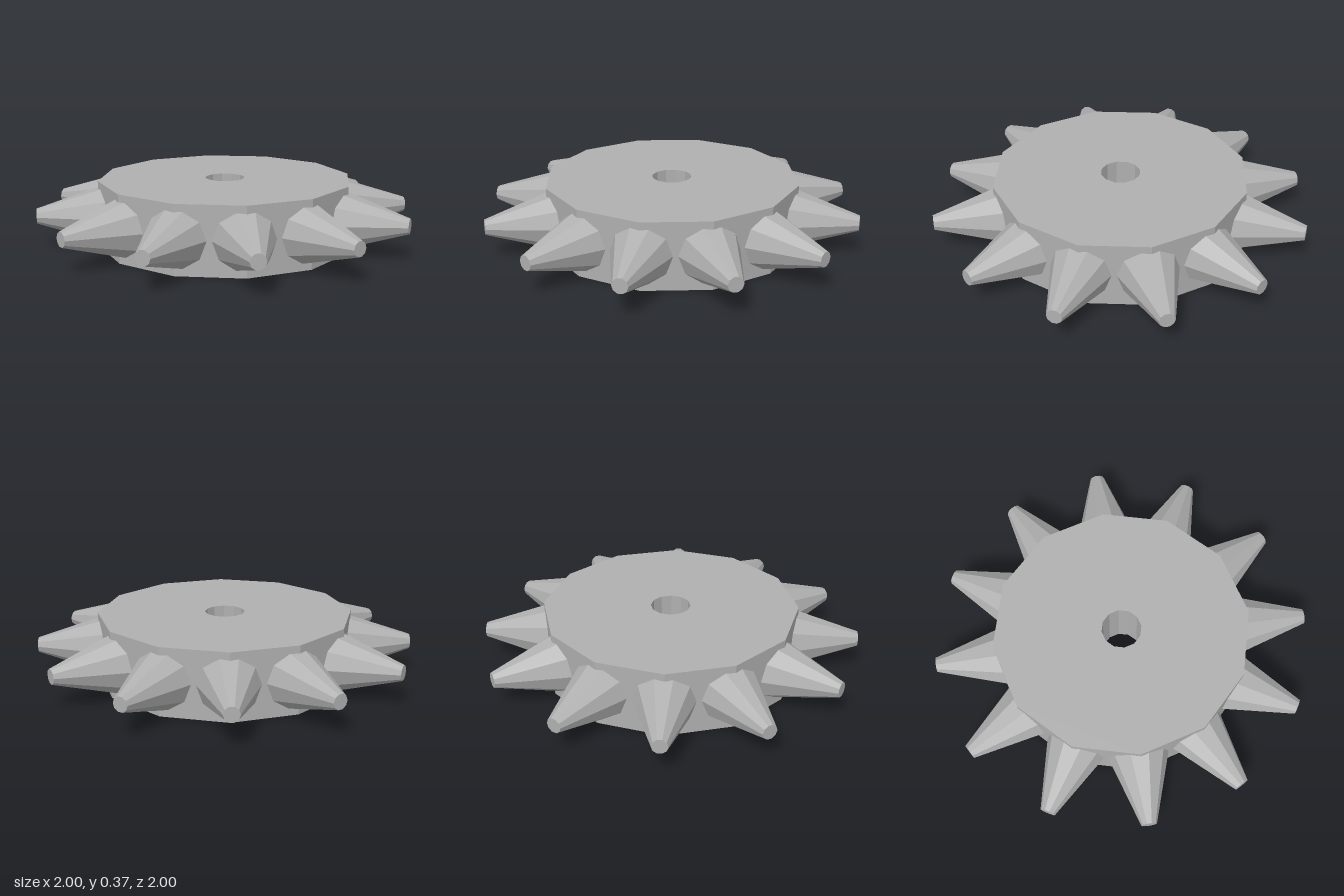
import * as THREE from 'three';

const SIDES = 12;
const STEP = (Math.PI * 2) / SIDES;
const HEIGHT = 0.365;

// Points of a regular polygon whose flats face the axes
function polygon(radius) {
  return Array.from({ length: SIDES }, (_, i) => {
    const a = STEP * (i + 0.5);
    return new THREE.Vector2(Math.cos(a) * radius, Math.sin(a) * radius);
  });
}

export function createModel() {
  const model = new THREE.Group();
  model.name = 'spikedWheel';

  const steel = new THREE.MeshStandardMaterial({ color: 0xb0b0b0, flatShading: true });
  steel.name = 'grey steel';

  // Twelve-sided disc with an axle hole
  const outline = new THREE.Shape(polygon(0.695));
  outline.holes.push(new THREE.Path(polygon(0.108)));
  const discGeometry = new THREE.ExtrudeGeometry(outline, { depth: HEIGHT, bevelEnabled: false });
  discGeometry.rotateX(-Math.PI / 2);
  const disc = new THREE.Mesh(discGeometry, steel);
  disc.name = 'disc';
  model.add(disc);

  // Blunt ten-sided spikes, one on each corner, sunk into the rim
  const inner = 0.6;
  const outer = 1.025;
  const spikeGeometry = new THREE.CylinderGeometry(0.041, 0.178, outer - inner, 10);
  spikeGeometry.rotateZ(-Math.PI / 2);
  spikeGeometry.translate((inner + outer) / 2, HEIGHT / 2, 0);

  const spikes = new THREE.Group();
  spikes.name = 'spikes';
  spikes.rotation.y = -0.006;
  for (let i = 0; i < SIDES; i++) {
    const spike = new THREE.Mesh(spikeGeometry, steel);
    spike.name = `spike${i + 1}`;
    spike.rotation.y = STEP * (i + 0.5);
    spikes.add(spike);
  }
  model.add(spikes);

  return model;
}
